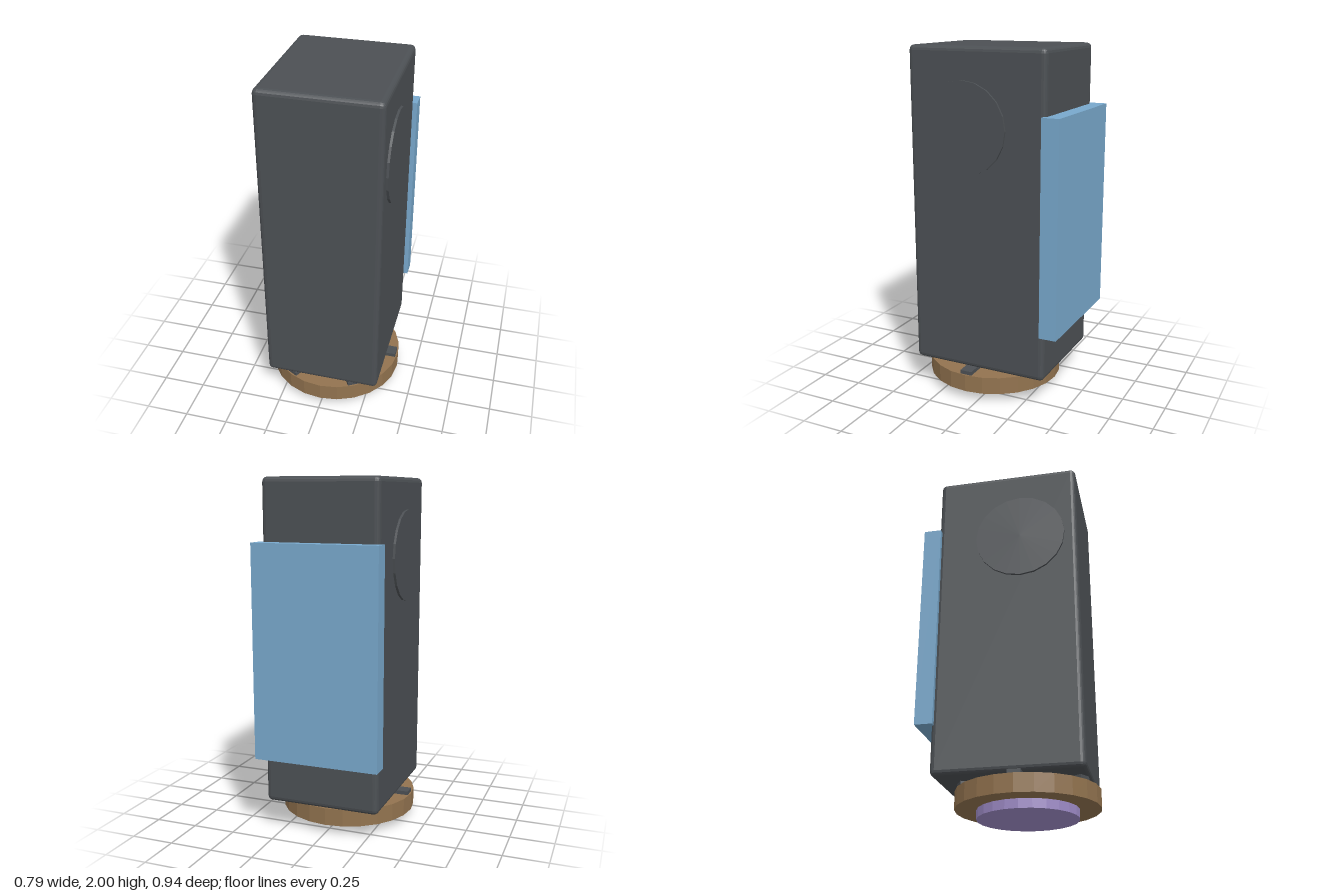
import * as THREE from 'three';
import { RoundedBoxGeometry } from 'three/addons/geometries/RoundedBoxGeometry.js';

const material = (name, color, flatShading = false) =>
  Object.assign(new THREE.MeshStandardMaterial({ color, flatShading }), { name });

export function createModel() {
  const model = new THREE.Group();
  model.name = 'towerDevice';
  const charcoal = material('charcoal', 0x4c5054, true);
  const blue = material('blue', 0x78a8cc, true);
  const brown = material('brown', 0x92734f, true);
  const lavender = material('lavender', 0x9f8cc8, true);

  const add = (name, geometry, mat, x, y, z, parent = model) => {
    const mesh = new THREE.Mesh(geometry, mat);
    mesh.name = name;
    mesh.position.set(x, y, z);
    parent.add(mesh);
    return mesh;
  };

  // Upright body with softened edges
  add('body', new RoundedBoxGeometry(0.67, 1.825, 0.815, 2, 0.028), charcoal, 0, 1.0875, 0.022);

  // Shallow round caps, one on each side
  for (const side of [-1, 1]) {
    const cap = add(side > 0 ? 'leftCap' : 'rightCap',
      new THREE.CylinderGeometry(0.258, 0.258, 0.04, 20), charcoal, side * 0.328, 1.565, 0.1);
    cap.rotation.z = Math.PI / 2;
  }

  // Flat panel on the back
  add('backPanel', new THREE.BoxGeometry(0.72, 1.205, 0.1), blue, 0, 1.052, -0.42);

  // Round base: foot, disc and a ring of six radial tabs
  const base = new THREE.Group();
  base.name = 'base';
  base.position.z = 0.072;
  model.add(base);
  add('foot', new THREE.CylinderGeometry(0.277, 0.277, 0.06, 24), lavender, 0, 0.03, 0, base);
  add('baseDisc', new THREE.CylinderGeometry(0.395, 0.395, 0.1, 24), brown, 0, 0.1, 0, base);
  for (let i = 0; i < 6; i++) {
    const angle = (i * Math.PI) / 3;
    const tab = add('baseTab', new THREE.BoxGeometry(0.16, 0.04, 0.07), charcoal,
      Math.cos(angle) * 0.305, 0.152, -Math.sin(angle) * 0.305, base);
    tab.rotation.y = angle;
  }

  return model;
}
